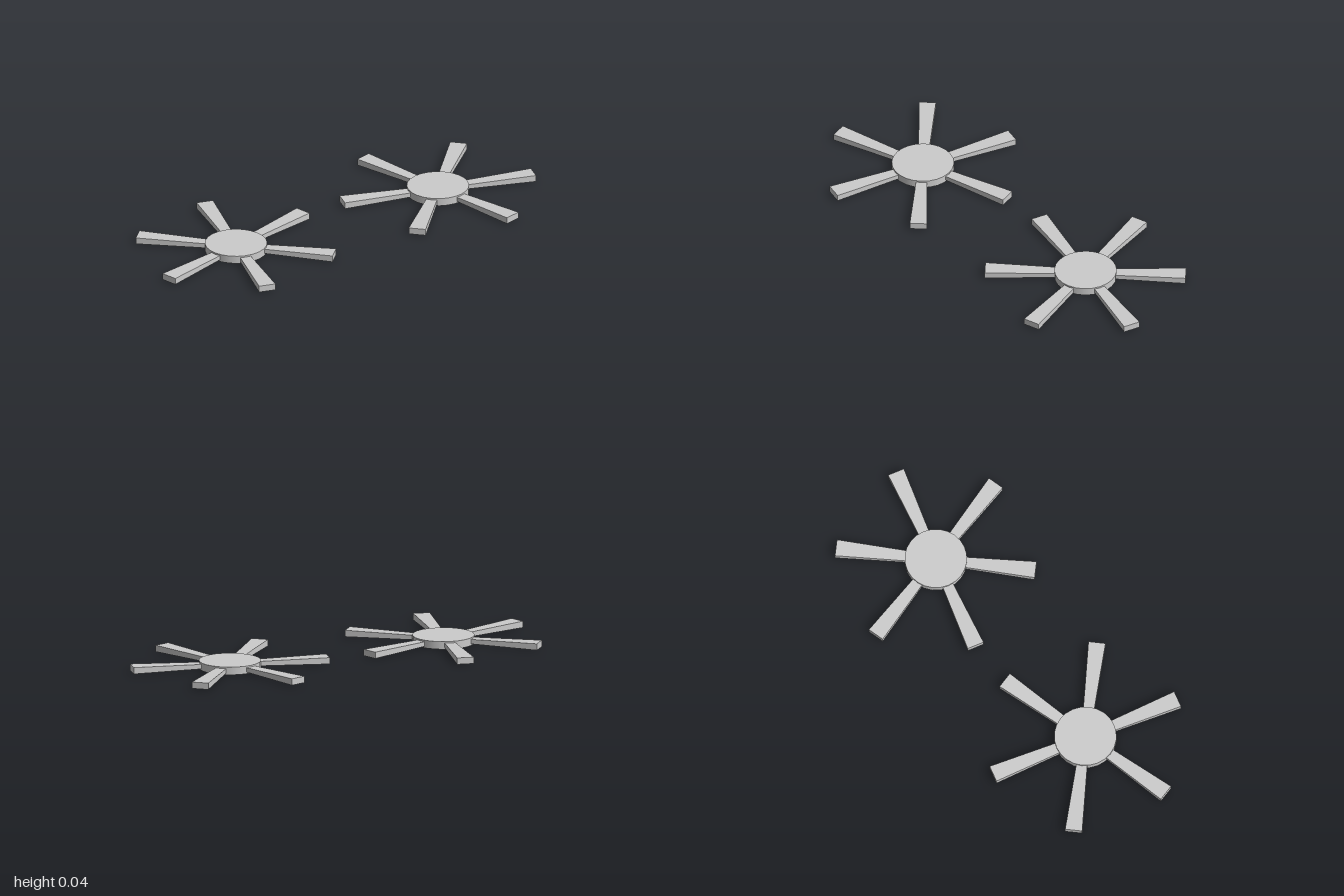
import * as THREE from 'three';

const HUB_RADIUS = 0.142, HUB_HEIGHT = 0.036;
const ROOT = 0.1, TIP = 0.457; // blade start and end, measured from the hub axis

// Blade along +x that widens and thickens towards its tip
function bladeGeometry() {
  const geo = new THREE.BoxGeometry(TIP - ROOT, 0.03, 0.078);
  geo.translate((TIP + ROOT) / 2, 0, 0);
  const pos = geo.attributes.position;
  for (let i = 0; i < pos.count; i++) {
    if (pos.getX(i) < (TIP + ROOT) / 2) {
      pos.setY(i, pos.getY(i) * 0.67);
      pos.setZ(i, pos.getZ(i) * 0.6);
    }
  }
  geo.computeVertexNormals();
  return geo;
}

export function createModel() {
  const model = new THREE.Group();
  model.name = 'rotorPair';
  const material = new THREE.MeshStandardMaterial({ color: 0xcccccc });
  const hubGeo = new THREE.CylinderGeometry(HUB_RADIUS, HUB_RADIUS, HUB_HEIGHT, 24);
  const bladeGeo = bladeGeometry();

  // Mirrored rotors, one on each side
  for (const side of [1, -1]) {
    const rotor = new THREE.Group();
    rotor.name = side > 0 ? 'leftRotor' : 'rightRotor';
    rotor.position.set(side * 0.548, HUB_HEIGHT / 2, 0);

    const hub = new THREE.Mesh(hubGeo, material);
    hub.name = 'hub';
    rotor.add(hub);

    // Six evenly spaced blades
    for (let i = 0; i < 6; i++) {
      const blade = new THREE.Mesh(bladeGeo, material);
      blade.name = 'blade' + (i + 1);
      blade.rotation.y = -side * (Math.PI / 12 + (i * Math.PI) / 3);
      rotor.add(blade);
    }
    model.add(rotor);
  }
  return model;
}
